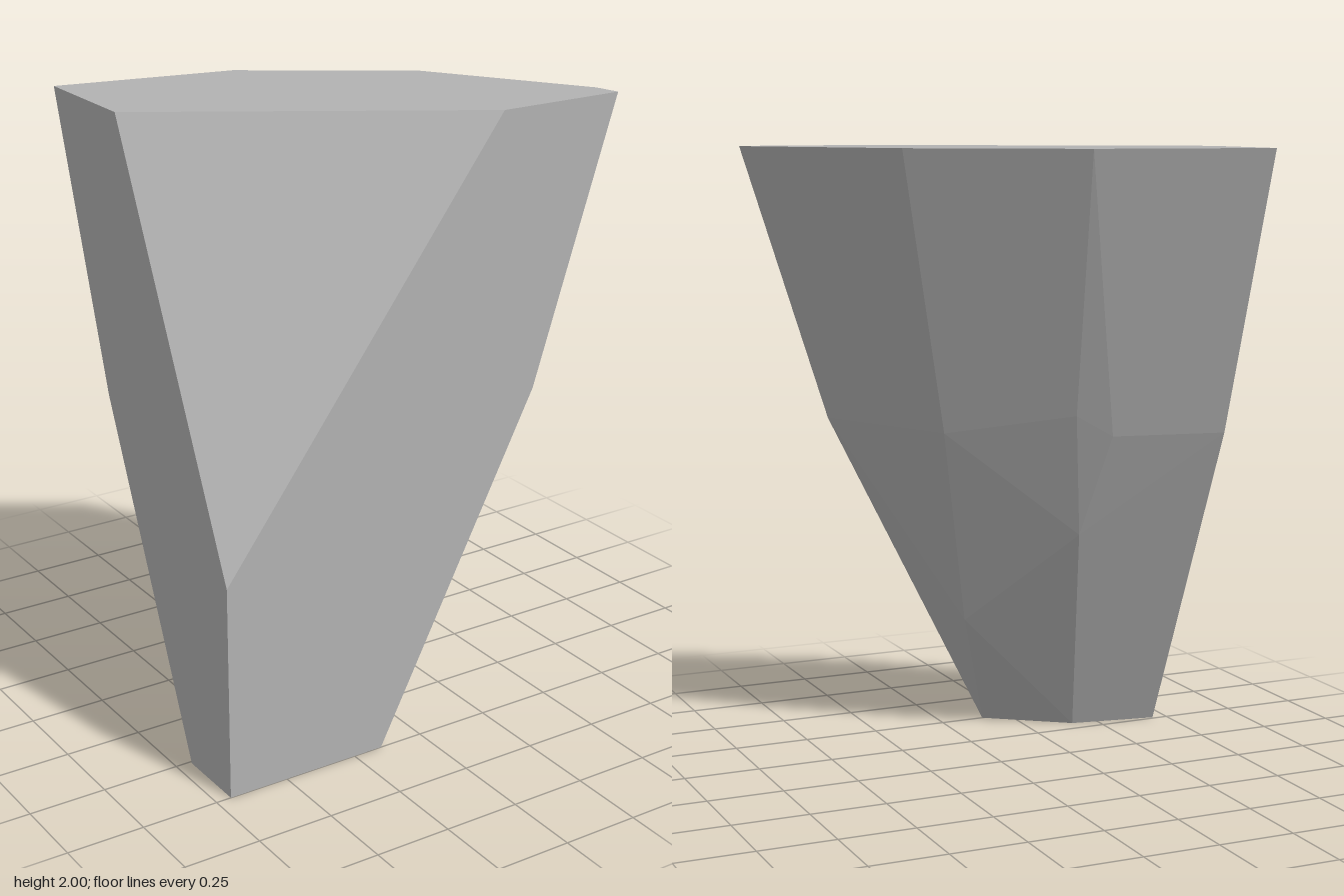
import * as THREE from 'three';
import { ConvexGeometry } from 'three/addons/geometries/ConvexGeometry.js';

// Faceted rock wedge: a convex solid, flat on the front, side, top and bottom
export function createModel() {
  const group = new THREE.Group();
  group.name = 'rockWedge';
  const stone = new THREE.MeshStandardMaterial({ color: 0xb2b2b2 });
  stone.name = 'stone grey';

  // top rim, with the corner at front and side cut away
  const top = [[-0.7, -0.1], [-0.7, -0.5], [-0.13, -0.39], [0.36, -0.065],
    [0.68, 0.42], [0.7, 0.5], [0.27, 0.5]].map(([x, z]) => [x, 2, z]);
  // bends of the curved back, around mid height
  const middle = [[0.41, 1.1, 0.5], [0.14, 1.08, 0.14], [-0.21, 1.15, -0.12],
    [-0.33, 1.08, -0.14], [-0.7, 1.08, -0.21], [-0.285, 0.735, 0.01], [-0.02, 0.4, 0.35]];
  // lowest corner of the sloping cut
  const cut = [[-0.7, 0.7, 0.5]];
  // small foot
  const foot = [[-0.7, 0.5], [-0.15, 0.5], [-0.41, 0.31], [-0.7, 0.26]]
    .map(([x, z]) => [x, 0, z]);

  const points = [...top, ...middle, ...cut, ...foot].map((p) => new THREE.Vector3(...p));
  const rock = new THREE.Mesh(new ConvexGeometry(points), stone);
  rock.name = 'rock';
  group.add(rock);
  return group;
}
